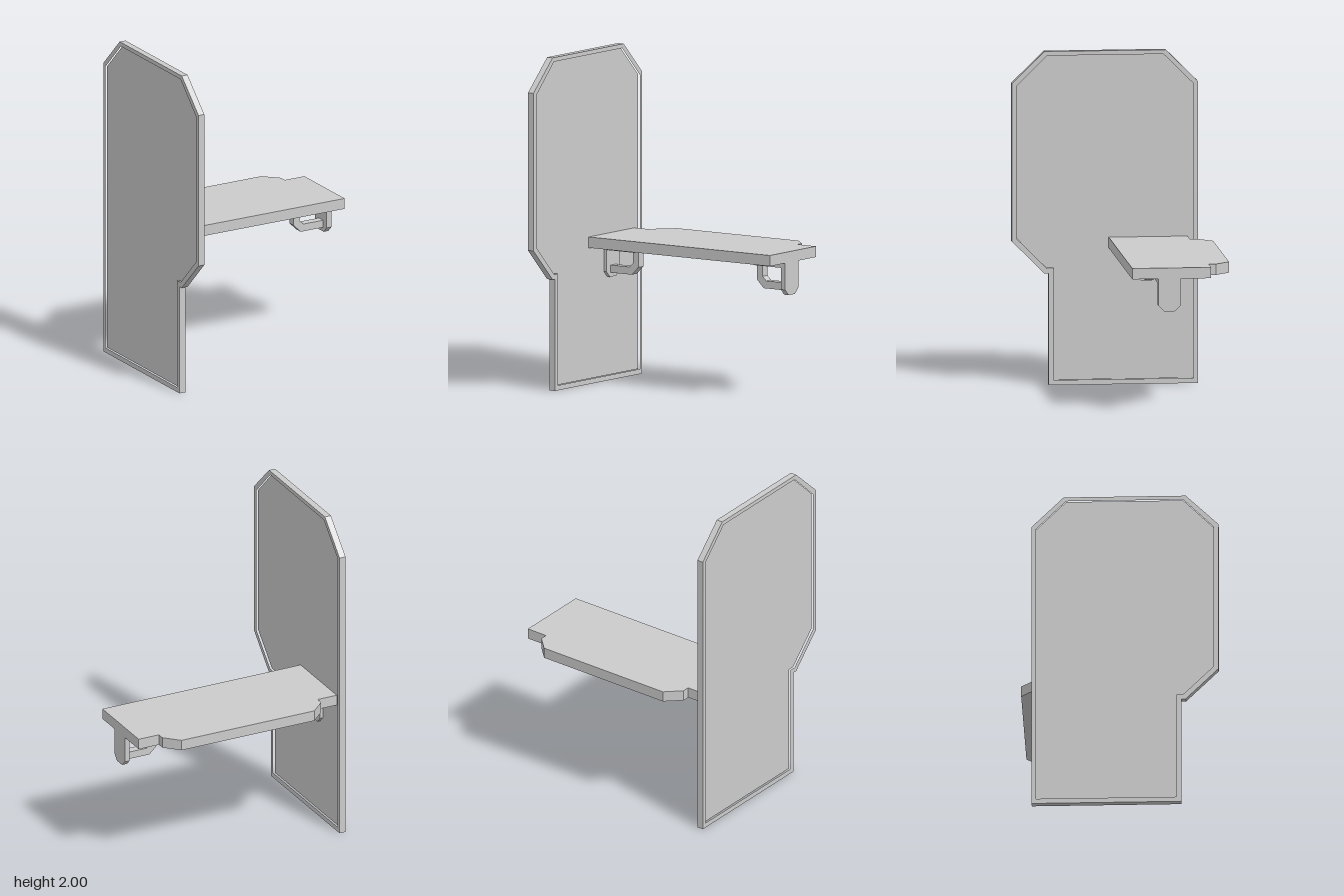
import * as THREE from 'three';

const material = new THREE.MeshStandardMaterial({ color: 0xcccccc, flatShading: true });

const toShape = (points) => new THREE.Shape(points.map(([x, y]) => new THREE.Vector2(x, y)));

// Extrudes a flat outline by the given thickness, starting at 0
function extrude(shape, depth) {
  return new THREE.ExtrudeGeometry(shape, { depth, bevelEnabled: false });
}

function addMesh(parent, name, geometry) {
  const mesh = new THREE.Mesh(geometry, material);
  mesh.name = name;
  parent.add(mesh);
  return mesh;
}

// Outline given as (z, y), filling x from x0 to x1
const slabX = (shape, x0, x1) => extrude(shape, x1 - x0).rotateY(-Math.PI / 2).translate(x1, 0, 0);

// Outline given as (x, z), filling y from y0 to y1
const slabY = (shape, y0, y1) => extrude(shape, y1 - y0).rotateX(Math.PI / 2).translate(0, y1, 0);

// Side panel: a thin sheet inside a raised rim on both faces
function createPanel() {
  const panel = new THREE.Group();
  panel.name = 'sidePanel';
  const outer = [
    [0.37, 0], [-0.52, 0], [-0.52, 1.81], [-0.33, 2], [0.395, 2],
    [0.59, 1.81], [0.59, 0.865], [0.395, 0.67], [0.37, 0.67],
  ];
  const inner = [
    [0.34, 0.03], [-0.495, 0.03], [-0.495, 1.795], [-0.315, 1.975], [0.38, 1.975],
    [0.56, 1.795], [0.56, 0.88], [0.38, 0.7], [0.34, 0.7],
  ];
  const rim = toShape(outer);
  rim.holes.push(toShape(inner));
  addMesh(panel, 'panelRim', slabX(rim, -0.675, -0.635));
  addMesh(panel, 'panelSheet', slabX(toShape(inner), -0.663, -0.647));
  return panel;
}

// Shelf with a chamfered tongue along the back
function createShelf() {
  const outline = toShape([
    [-0.66, 0.01], [0.675, 0.01], [0.675, -0.46], [0.54, -0.46], [0.54, -0.505],
    [0.455, -0.59], [-0.43, -0.59], [-0.52, -0.505], [-0.52, -0.46], [-0.66, -0.46],
  ]);
  return slabY(outline, 0.815, 0.88);
}

// Bracket, centred on z = 0: top plate, end plate and bent bar joining them
function createBracket(name) {
  const bracket = new THREE.Group();
  bracket.name = name;
  const w = 0.0675, c = 0.035;
  addMesh(bracket, 'topPlate', slabY(toShape([
    [0.675, -w], [0.675, w], [0.41 + c, w], [0.41, w - c], [0.41, c - w], [0.41 + c, -w],
  ]), 0.785, 0.815));
  addMesh(bracket, 'endPlate', slabX(toShape([
    [-w, 0.785], [-w, 0.62 + c], [c - w, 0.62], [w - c, 0.62], [w, 0.62 + c], [w, 0.785],
  ]), 0.643, 0.675));
  const bar = toShape([
    [0.44, 0.785], [0.44, 0.693], [0.488, 0.645], [0.643, 0.645],
    [0.643, 0.69], [0.507, 0.69], [0.48, 0.715], [0.48, 0.785],
  ]);
  addMesh(bracket, 'bentBar', extrude(bar, 0.05).translate(0, 0, -0.025));
  return bracket;
}

export function createModel() {
  const model = new THREE.Group();
  model.name = 'shelfWithSidePanel';
  model.add(createPanel());
  addMesh(model, 'shelf', createShelf());

  const bracketZ = -0.2125;
  const outerBracket = createBracket('outerBracket');
  outerBracket.position.z = bracketZ;

  // Same bracket turned about the middle of the shelf
  const panelBracket = createBracket('panelBracket');
  panelBracket.rotation.y = Math.PI;
  panelBracket.position.set(0.015, 0, bracketZ);

  model.add(outerBracket, panelBracket);
  return model;
}
